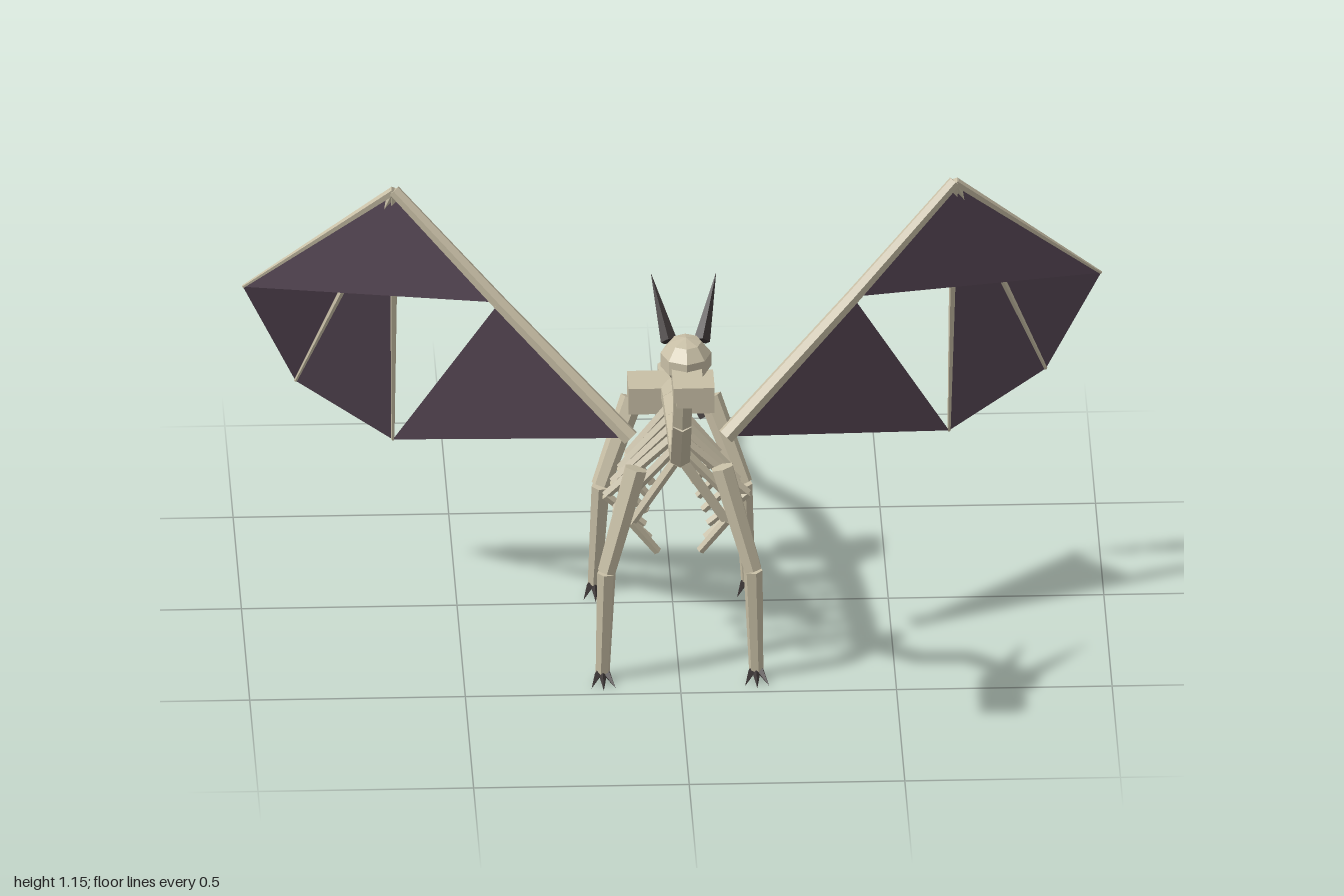
import * as THREE from 'three';

const bone = new THREE.MeshStandardMaterial({ color: 0xc8bfa6 });
bone.name = 'bone';
const membrane = new THREE.MeshStandardMaterial({ color: 0x5a4a58, side: THREE.DoubleSide });
membrane.name = 'wing membrane';
const horn = new THREE.MeshStandardMaterial({ color: 0x3b3535 });
horn.name = 'dark horn';
for (const m of [bone, membrane, horn]) m.flatShading = true;

const V = (p) => new THREE.Vector3(...p);

// Tapered rod from point a (radius ra) to point b (radius rb)
function rod(name, a, b, ra, rb, mat = bone, sides = 6) {
  const from = V(a), dir = V(b).sub(from);
  const mesh = new THREE.Mesh(new THREE.CylinderGeometry(rb, ra, dir.length(), sides), mat);
  mesh.name = name;
  mesh.position.copy(from).addScaledVector(dir, 0.5);
  mesh.quaternion.setFromUnitVectors(new THREE.Vector3(0, 1, 0), dir.normalize());
  return mesh;
}

// Chain of rods through points, tapering from r0 to r1
function chain(name, pts, r0, r1, sides = 6) {
  const g = new THREE.Group();
  g.name = name;
  const n = pts.length - 1;
  for (let i = 0; i < n; i++) {
    const r = (t) => r0 + (r1 - r0) * t / n;
    g.add(rod(name + 'Bone', pts[i], pts[i + 1], r(i), r(i + 1), bone, sides));
  }
  return g;
}

function box(name, w, h, d, x, y, z) {
  const mesh = new THREE.Mesh(new THREE.BoxGeometry(w, h, d), bone);
  mesh.name = name;
  mesh.position.set(x, y, z);
  return mesh;
}

function makeHead() {
  const g = new THREE.Group();
  g.name = 'head';
  const skull = new THREE.Mesh(new THREE.SphereGeometry(1, 8, 5), bone);
  skull.name = 'skull';
  skull.scale.set(0.062, 0.055, 0.075);
  skull.position.set(0, 1.0, 0.8);
  g.add(skull, box('snout', 0.07, 0.038, 0.14, 0, 0.98, 0.89),
    box('jaw', 0.055, 0.018, 0.12, 0, 0.95, 0.885));
  for (const s of [-1, 1]) {
    g.add(rod('horn', [s * 0.038, 1.03, 0.765], [s * 0.076, 1.155, 0.655], 0.02, 0, horn, 5));
  }
  return g;
}

// Leg with two bones and three claws
function makeLeg(name, s, hip, knee, foot) {
  const side = ([x, y, z]) => [s * x, y, z];
  const g = chain(name, [hip, knee, foot].map(side), 0.028, 0.017);
  for (const k of [-1, 0, 1]) {
    const [x, y, z] = foot;
    g.add(rod('claw', [s * x + k * 0.008, y, z], [s * x + k * 0.028, 0.005, z + 0.07 - Math.abs(k) * 0.012],
      0.011, 0, horn, 4));
  }
  return g;
}

function makeWing(s) {
  const g = new THREE.Group();
  g.name = s > 0 ? 'leftWing' : 'rightWing';
  const P = (x, y, z) => [s * x, y, z];
  const base = P(0.11, 0.58, 0.33), elbow = P(0.41, 0.875, 0.208), wrist = P(0.65, 1.12, 0.11);
  const tips = [P(0.995, 0.81, -0.04), P(0.87, 0.53, -0.12), P(0.645, 0.385, -0.1)];
  g.add(rod('upperWingBone', base, elbow, 0.021, 0.018), rod('foreWingBone', elbow, wrist, 0.018, 0.015));
  for (const t of tips) g.add(rod('wingFinger', wrist, t, 0.011, 0.004, bone, 5));
  // Skin stretched between the bones
  const panels = [
    [base, elbow, tips[2]], [elbow, wrist, tips[0]],
    [wrist, tips[0], tips[1]], [wrist, tips[1], tips[2]],
  ];
  for (const p of panels) {
    const geo = new THREE.BufferGeometry().setFromPoints(p.map(V));
    geo.computeVertexNormals();
    const mesh = new THREE.Mesh(geo, membrane);
    mesh.name = 'wingMembrane';
    g.add(mesh);
  }
  return g;
}

export function createModel() {
  const model = new THREE.Group();
  model.name = 'skeletonDragon';

  model.add(makeHead());
  model.add(chain('neck', [[0, 0.57, 0.34], [0, 0.585, 0.45], [0, 0.73, 0.57], [0, 0.89, 0.635], [0, 0.975, 0.72]], 0.027, 0.023));
  model.add(chain('spine', [[0, 0.57, 0.35], [0, 0.555, 0.19], [0, 0.535, 0.04], [0, 0.5, -0.1]], 0.026, 0.028));
  model.add(box('pelvis', 0.2, 0.065, 0.1, 0, 0.49, -0.11));
  model.add(chain('tail', [[0, 0.495, -0.14], [0, 0.44, -0.345], [0, 0.29, -0.55], [0.05, 0.185, -0.71], [0.105, 0.095, -0.86]], 0.03, 0.007));
  model.add(rod('tailSpike', [0.103, 0.1, -0.845], [0.13, 0.065, -0.958], 0.025, 0, horn, 4));

  for (const s of [-1, 1]) {
    // Six ribs, widest at the chest
    for (let i = 0; i < 6; i++) {
      const z = 0.38 - i * 0.075;
      const w = [0.11, 0.145, 0.165, 0.145, 0.125, 0.105][i];
      const top = 0.56 - i * 0.008;
      model.add(chain('rib', [[0, top, z + 0.005], [s * w, 0.39, z + 0.003], [s * w * 0.45, 0.31, z - 0.006]], 0.013, 0.01, 5));
    }
    model.add(makeLeg('frontLeg', s, [0.1, 0.53, 0.39], [0.17, 0.285, 0.43], [0.178, 0.02, 0.41]));
    model.add(makeLeg('hindLeg', s, [0.09, 0.48, -0.105], [0.165, 0.285, -0.045], [0.178, 0.02, -0.075]));
    model.add(makeWing(s));
  }
  return model;
}
